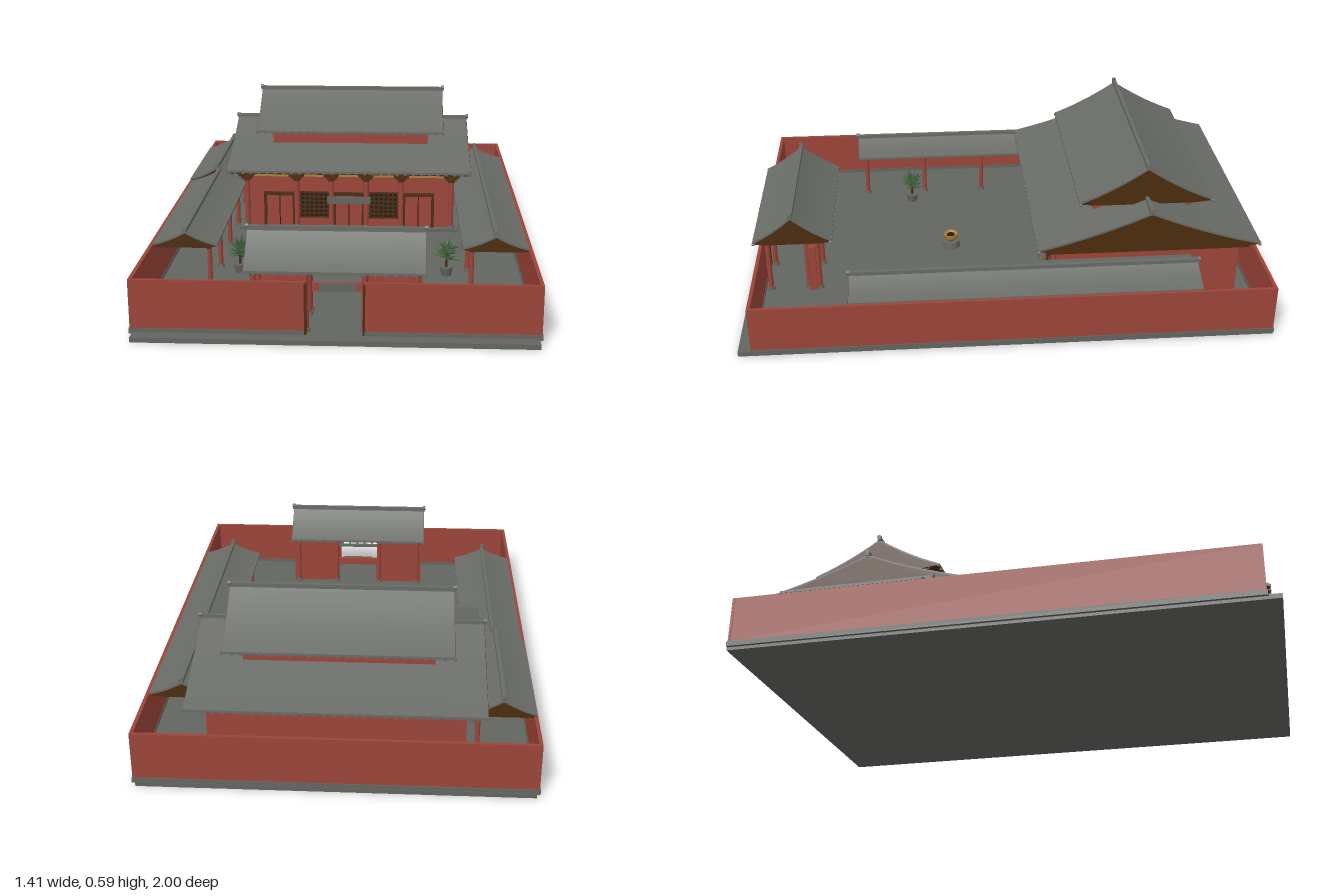
import * as THREE from 'three';
import { mergeGeometries, toCreasedNormals } from 'three/addons/utils/BufferGeometryUtils.js';

const mat = (name, color, side = THREE.FrontSide) => {
  const m = new THREE.MeshStandardMaterial({ color, side });
  m.name = name;
  return m;
};

export function createModel() {
  const red = mat('red wall', 0x9c453a);
  const tile = mat('roof tile grey', 0x696c66);
  const stone = mat('stone grey', 0x636660);
  const wood = mat('dark brown wood', 0x4d2d10);
  const dark = mat('dark panel', 0x231a12);
  const gold = mat('bronze gold', 0xa98238);
  const leaf = mat('leaf green', 0x4a6b42, THREE.DoubleSide);

  const model = new THREE.Group();
  model.name = 'courtyardTemple';

  const group = (name, parent = model) => {
    const g = new THREE.Group();
    g.name = name;
    parent.add(g);
    return g;
  };
  const add = (parent, name, geo, material) => {
    const m = new THREE.Mesh(geo, material);
    m.name = name;
    parent.add(m);
    return m;
  };
  // Box geometry given by its minimum and maximum on each axis
  const boxGeo = (x0, x1, y0, y1, z0, z1) =>
    new THREE.BoxGeometry(x1 - x0, y1 - y0, z1 - z0)
      .translate((x0 + x1) / 2, (y0 + y1) / 2, (z0 + z1) / 2);
  const box = (parent, name, material, ...b) => add(parent, name, boxGeo(...b), material);
  const column = (parent, x, z, y0, y1, r = 0.011) => {
    add(parent, 'column', new THREE.CylinderGeometry(r, r, y1 - y0, 12).translate(x, (y0 + y1) / 2, z), red);
    add(parent, 'columnBase', new THREE.CylinderGeometry(r * 1.4, r * 1.6, 0.012, 12).translate(x, y0 + 0.006, z), stone);
  };

  // Gabled roof with gently curved slopes; the ridge runs along local z
  function roof(name, { half, length, eave, rise, sag = 0.28, tiles = true }) {
    const g = group(name);
    const th = 0.009, n = 10;
    const height = u => {
      const t = 1 - Math.abs(u) / half;
      return eave + rise * ((1 - sag) * t + sag * t * t);
    };
    const us = Array.from({ length: 2 * n + 1 }, (_, i) => (i / n - 1) * half);
    const extrude = (pts, len) => toCreasedNormals(
      new THREE.ExtrudeGeometry(new THREE.Shape(pts), { depth: len, bevelEnabled: false })
        .translate(0, 0, -len / 2), 0.25);
    const top = us.map(u => new THREE.Vector2(u, height(u)));
    const under = us.map(u => new THREE.Vector2(u, height(u) - th));
    add(g, 'tiledSlopes', extrude([...top, ...under.reverse()], length), tile);

    // Solid timber gable under the tiles
    const inner = us.map(u => new THREE.Vector2(u * 0.985, height(u) - th * 0.8));
    const b = eave - 0.014;
    add(g, 'timberGable', extrude([
      ...inner,
      new THREE.Vector2(half * 0.72, b), new THREE.Vector2(-half * 0.72, b)], length + 0.004), wood);

    // Ridge bar and round ridge ends
    const yr = eave + rise;
    box(g, 'ridge', tile, -0.007, 0.007, yr - 0.006, yr + 0.011, -length / 2 - 0.006, length / 2 + 0.006);
    const ends = [-1, 1].map(s => new THREE.CylinderGeometry(0.009, 0.009, 0.012, 12)
      .rotateX(Math.PI / 2).translate(0, yr + 0.009, s * (length / 2 + 0.002)));
    add(g, 'ridgeEnds', mergeGeometries(ends), tile);

    // Tile ends hanging along both eaves
    if (tiles) {
      const count = Math.round(length / 0.034), bits = [];
      for (const s of [-1, 1]) for (let i = 0; i <= count; i++) {
        const z = -length / 2 + length * i / count;
        bits.push(new THREE.CylinderGeometry(0.006, 0.006, 0.01, 8)
          .rotateZ(Math.PI / 2).translate(s * (half - 0.003), eave - 0.009, z));
      }
      add(g, 'eaveTileEnds', mergeGeometries(bits), tile);
    }
    return g;
  }

  // Ground slab and surrounding wall
  box(model, 'groundSlab', stone, -0.695, 0.695, 0, 0.018, -1, 1);
  const wall = group('outerWall');
  const ring = (name, material, y0, y1, t, out) => {
    for (const s of [-1, 1]) {
      const xo = s * (0.704 + out), xi = s * (0.704 - t);
      box(wall, name, material, Math.min(xo, xi), Math.max(xo, xi), y0, y1, -0.995 - out, 0.95 + out);
      box(wall, name, material, s > 0 ? 0.1 : -0.704, s > 0 ? 0.704 : -0.1, y0, y1, 0.95 - t, 0.95 + out);
    }
    box(wall, name, material, -0.704, 0.704, y0, y1, -0.995 - out, -0.995 + t);
  };
  ring('wallFace', red, 0.03, 0.208, 0.013, 0);
  ring('wallFooting', stone, 0.012, 0.032, 0.015, 0.003);

  // Main hall
  const hall = group('mainHall');
  box(hall, 'hallPlinth', stone, -0.475, 0.475, 0.015, 0.032, -0.93, -0.17);
  box(hall, 'hallWalls', red, -0.45, 0.45, 0.03, 0.285, -0.91, -0.2);
  box(hall, 'upperStorey', red, -0.34, 0.34, 0.33, 0.43, -0.735, -0.352);
  box(hall, 'upperEaveBeam', wood, -0.4, 0.4, 0.417, 0.427, -0.76, -0.33);
  box(hall, 'eaveBeam', wood, -0.51, 0.51, 0.272, 0.284, -0.93, -0.16);
  box(hall, 'goldFrieze', gold, -0.43, 0.43, 0.254, 0.262, -0.2, -0.192);
  const front = -0.2;
  for (const x of [-0.3, 0, 0.3]) {
    const d = group('doorway', hall);
    for (const s of [-1, 1]) box(d, 'doorJamb', wood, x + s * 0.062 - 0.006, x + s * 0.062 + 0.006, 0.03, 0.18, front, front + 0.012);
    box(d, 'doorLintel', wood, x - 0.068, x + 0.068, 0.17, 0.184, front, front + 0.013);
    box(d, 'doorLeaves', red, x - 0.056, x + 0.056, 0.03, 0.17, front, front + 0.003);
    box(d, 'doorSeam', dark, x - 0.002, x + 0.002, 0.03, 0.17, front, front + 0.005);
  }
  for (const x of [-0.15, 0.15]) {
    const w = group('latticeWindow', hall);
    box(w, 'windowPanel', dark, x - 0.062, x + 0.062, 0.07, 0.185, front, front + 0.004);
    const bars = [];
    for (let i = 0; i <= 6; i++) {
      const bx = x - 0.06 + i * 0.02, by = 0.072 + i * 0.0185;
      bars.push(boxGeo(bx - 0.003, bx + 0.003, 0.068, 0.187, front, front + 0.008));
      bars.push(boxGeo(x - 0.064, x + 0.064, by - 0.003, by + 0.003, front, front + 0.008));
    }
    add(w, 'windowLattice', mergeGeometries(bars), wood);
  }
  for (const x of [-0.44, -0.225, -0.075, 0.075, 0.225, 0.44]) {
    column(hall, x, front + 0.01, 0.03, 0.255);
    for (let i = 0; i < 3; i++) { // stepped bracket
      const r = 0.014 + i * 0.009;
      box(hall, 'bracket', wood, x - r, x + r, 0.238 + i * 0.012, 0.248 + i * 0.012, front, front + 0.025 + i * 0.01);
    }
  }
  box(hall, 'nameBoard', stone, -0.093, 0.093, 0.138, 0.168, front + 0.014, front + 0.024);
  const lower = roof('hallLowerRoof', { half: 0.425, length: 1.035, eave: 0.297, rise: 0.143 });
  const upper = roof('hallUpperRoof', { half: 0.256, length: 0.81, eave: 0.432, rise: 0.138 });
  for (const r of [lower, upper]) {
    r.rotation.y = Math.PI / 2;
    r.position.z = -0.546;
  }

  // Entrance gate
  const gate = group('entranceGate');
  for (const s of [-1, 1]) {
    box(gate, 'gateWall', red, s > 0 ? 0.1 : -0.3, s > 0 ? 0.3 : -0.1, 0.018, 0.215, 0.73, 0.758);
    for (const x of [0.1, 0.28]) for (const z of [0.722, 0.765, 0.915]) column(gate, s * x, z, 0.018, 0.25, 0.01);
    box(gate, 'crossBeam', wood, s * 0.28 - 0.008, s * 0.28 + 0.008, 0.226, 0.24, 0.7, 0.935);
    box(gate, 'gateJamb', wood, s * 0.1 - 0.004, s * 0.1 + 0.004, 0.018, 0.2, 0.93, 0.953);
  }
  for (const z of [0.74, 0.915]) box(gate, 'gateBeam', wood, -0.3, 0.3, 0.234, 0.25, z - 0.01, z + 0.01);
  box(gate, 'gateLintel', stone, -0.1, 0.1, 0.19, 0.2, 0.735, 0.752);
  box(gate, 'gateBar', red, -0.1, 0.1, 0.1, 0.13, 0.735, 0.75);
  box(gate, 'gateBoard', stone, -0.066, 0.066, 0.1, 0.132, 0.75, 0.758);
  const gateRoof = roof('gateRoof', { half: 0.152, length: 0.615, eave: 0.252, rise: 0.102 });
  gateRoof.rotation.y = Math.PI / 2;
  gateRoof.position.z = 0.815;

  // Side galleries: ridge x, half width, z range, eave height
  const galleries = [
    [0.57, 0.12, -0.72, 0.585, 0.212, 0.047],
    [-0.572, 0.12, -0.26, 0.585, 0.212, 0.047],
    [-0.582, 0.118, -0.81, -0.26, 0.22, 0.052],
  ];
  for (const [x, half, z0, z1, eave, rise] of galleries) {
    const r = roof('galleryRoof', { half, length: z1 - z0, eave, rise, sag: 0.45, tiles: false });
    r.position.set(x, 0, (z0 + z1) / 2);
    const g = group('gallery'), s = Math.sign(x), xc = x - s * 0.085;
    const n = Math.round((z1 - z0) / 0.26);
    for (let i = 0; i <= n; i++) {
      const z = z0 + 0.035 + (z1 - z0 - 0.07) * i / n;
      column(g, xc, z, 0.018, 0.205, 0.009);
      box(g, 'tieBeam', wood, Math.min(xc, s * 0.692), Math.max(xc, s * 0.692), 0.186, 0.196, z - 0.005, z + 0.005);
    }
    box(g, 'galleryBeam', wood, xc - 0.007, xc + 0.007, 0.19, 0.204, z0 + 0.01, z1 - 0.01);
  }

  // Incense burner
  const burner = group('incenseBurner');
  burner.position.set(0, 0.018, 0.19);
  add(burner, 'burnerPedestal', new THREE.CylinderGeometry(0.034, 0.038, 0.026, 20).translate(0, 0.013, 0), stone);
  const bowl = [[0, 0.026], [0.014, 0.026], [0.018, 0.034], [0.03, 0.042], [0.027, 0.054], [0.032, 0.058], [0.026, 0.059], [0.02, 0.05], [0, 0.05]];
  add(burner, 'burnerBowl', new THREE.LatheGeometry(bowl.map(p => new THREE.Vector2(...p)), 20), gold);
  add(burner, 'burnerAsh', new THREE.CylinderGeometry(0.016, 0.016, 0.004, 16).translate(0, 0.052, 0), dark);

  // Potted shrubs
  let seed = 7;
  const rand = () => (seed = (seed * 16807) % 2147483647) / 2147483647;
  for (const x of [-0.402, 0.402]) {
    const p = group('pottedShrub');
    p.position.set(x, 0.018, 0.35);
    add(p, 'pot', new THREE.CylinderGeometry(0.026, 0.019, 0.034, 14).translate(0, 0.017, 0), stone);
    add(p, 'trunk', new THREE.CylinderGeometry(0.004, 0.006, 0.07, 6).translate(0, 0.065, 0), wood);
    const leaves = [];
    for (let i = 0; i < 70; i++) {
      const len = 0.04 + 0.022 * rand();
      leaves.push(new THREE.ConeGeometry(0.005, len, 4).scale(1, 1, 0.4).translate(0, len / 2, 0)
        .rotateZ(-0.2 - 1.6 * rand()).rotateY(i * 2.4).translate(0, 0.065 + 0.045 * rand(), 0));
    }
    add(p, 'leaves', mergeGeometries(leaves), leaf);
  }
  return model;
}
